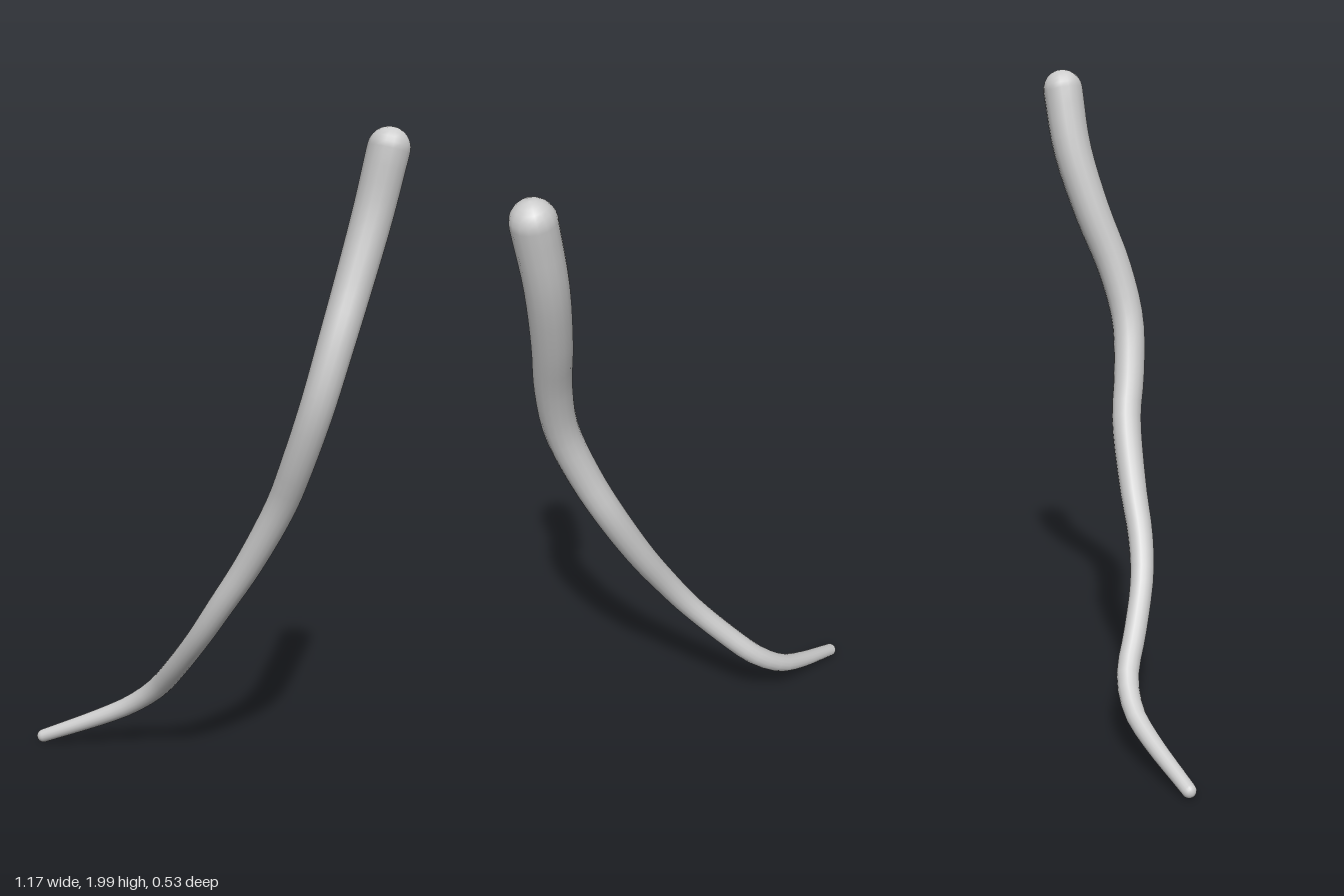
import * as THREE from 'three';

const SIDES = 16, RINGS = 48, CAP = 6;

// Centreline from the thin foot to the thick head
const PATH = [
  [-0.563, 0.026, -0.245], [-0.37, 0.1, -0.23], [-0.27, 0.148, -0.214], [-0.18, 0.22, -0.17],
  [-0.11, 0.32, -0.088], [-0.03, 0.45, 0.0], [0.035, 0.56, 0.045], [0.12, 0.7, 0.08],
  [0.22, 0.9, 0.13], [0.265, 1.03, 0.175], [0.318, 1.2, 0.21], [0.367, 1.37, 0.192],
  [0.42, 1.55, 0.143], [0.475, 1.75, 0.105], [0.517, 1.935, 0.1],
];

// Radii at even steps along the length
const RADII = [0.022, 0.029, 0.035, 0.036, 0.041, 0.046, 0.05, 0.053, 0.057, 0.061, 0.064];

function radiusAt(u) {
  const f = u * (RADII.length - 1), i = Math.min(Math.floor(f), RADII.length - 2);
  return THREE.MathUtils.lerp(RADII[i], RADII[i + 1], f - i);
}

// Tapered tube with hemispherical ends, lofted from rings around a curve
function taperedTube(curve) {
  const frames = curve.computeFrenetFrames(RINGS, false);
  const rings = [];
  const addRing = (i, shift, scale) => {
    const r = radiusAt(i / RINGS);
    const centre = curve.getPointAt(i / RINGS).addScaledVector(frames.tangents[i], shift * r);
    rings.push({ i, centre, r: r * scale });
  };
  for (let k = 0; k < CAP; k++) {
    const a = (k / CAP) * Math.PI / 2;
    addRing(0, -Math.cos(a), Math.sin(a));
  }
  for (let i = 0; i <= RINGS; i++) addRing(i, 0, 1);
  for (let k = 1; k <= CAP; k++) {
    const a = (k / CAP) * Math.PI / 2;
    addRing(RINGS, Math.sin(a), k === CAP ? 0 : Math.cos(a));
  }

  const positions = [], index = [];
  rings.forEach(({ i, centre, r }, row) => {
    for (let s = 0; s < SIDES; s++) {
      const a = (s / SIDES) * Math.PI * 2;
      const p = centre.clone()
        .addScaledVector(frames.normals[i], Math.cos(a) * r)
        .addScaledVector(frames.binormals[i], Math.sin(a) * r);
      positions.push(p.x, p.y, p.z);
      if (row === rings.length - 1) continue;
      const n = (s + 1) % SIDES;
      const a0 = row * SIDES + s, b0 = row * SIDES + n, a1 = a0 + SIDES, b1 = b0 + SIDES;
      if (row > 0) index.push(a0, b0, b1);
      else index.push(a0, b1, a1);
      if (row > 0 && row < rings.length - 2) index.push(a0, b1, a1);
    }
  });
  const geometry = new THREE.BufferGeometry();
  geometry.setAttribute('position', new THREE.Float32BufferAttribute(positions, 3));
  geometry.setIndex(index);
  geometry.computeVertexNormals();
  return geometry;
}

export function createModel() {
  const group = new THREE.Group();
  group.name = 'crookedStick';
  const curve = new THREE.CatmullRomCurve3(PATH.map((p) => new THREE.Vector3(...p)));
  const stick = new THREE.Mesh(
    taperedTube(curve),
    new THREE.MeshStandardMaterial({ color: 0xcccccc }),
  );
  stick.name = 'stick';
  group.add(stick);
  return group;
}
